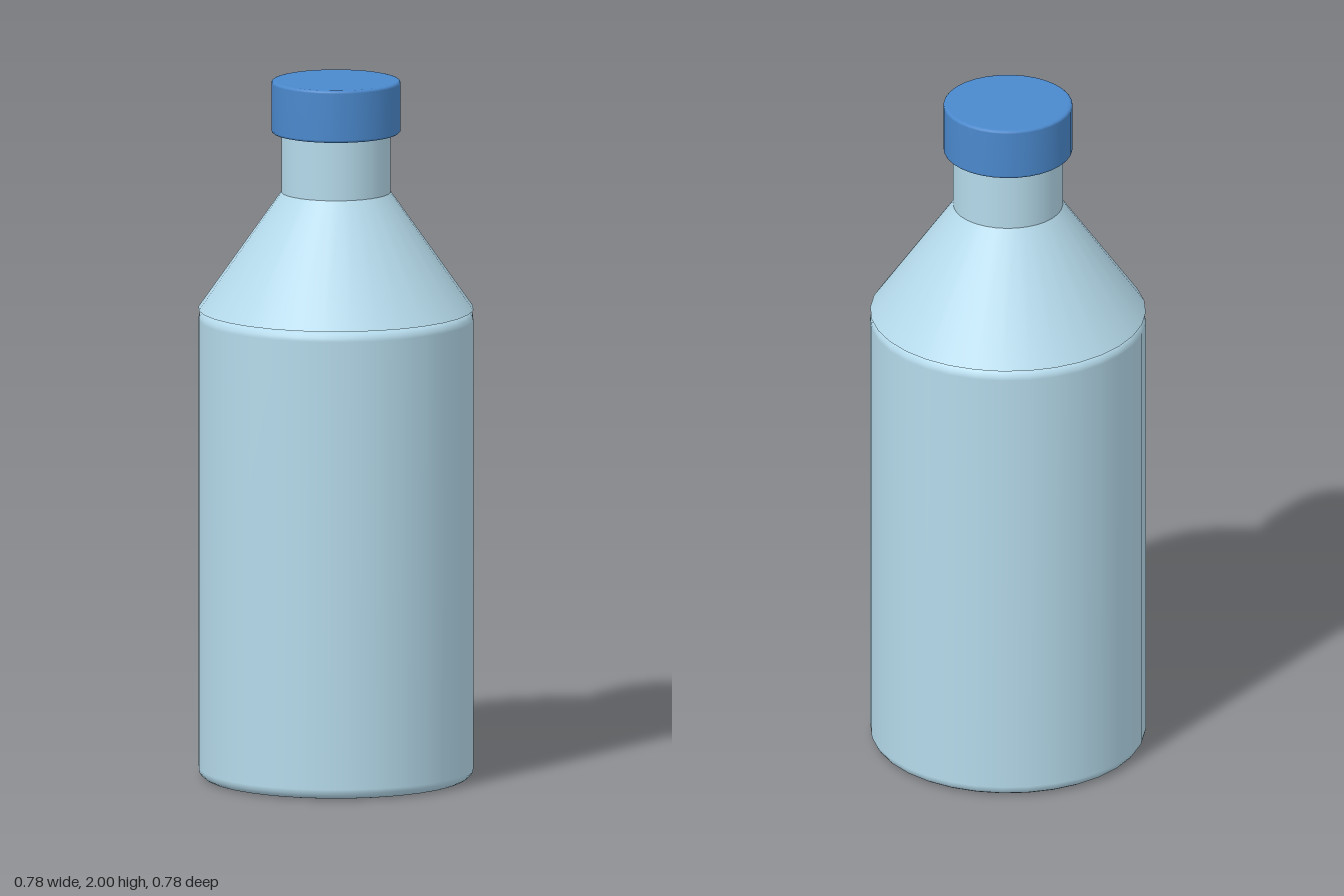
import * as THREE from 'three';

const SIDES = 32;
const bottleMaterial = new THREE.MeshStandardMaterial({ color: 0xb5daeb });
const capMaterial = new THREE.MeshStandardMaterial({ color: 0x4a88cc });

// Closed disc-ended cylinder with softly rounded rims, standing from y0 to y1
function roundedCylinder(radius, y0, y1, bevel, steps = 4) {
  const inner = radius - bevel;
  const points = [new THREE.Vector2(0, y0), new THREE.Vector2(inner * 0.98, y0)];
  for (const [centreY, start] of [[y0 + bevel, -Math.PI / 2], [y1 - bevel, 0]]) {
    for (let i = 0; i <= steps; i++) {
      const a = start + (i / steps) * (Math.PI / 2);
      points.push(new THREE.Vector2(inner + bevel * Math.cos(a), centreY + bevel * Math.sin(a)));
    }
  }
  points.push(new THREE.Vector2(inner * 0.98, y1), new THREE.Vector2(0, y1));
  return new THREE.LatheGeometry(points, SIDES);
}

// Plain tapered section between two heights
function taper(bottomRadius, topRadius, y0, y1) {
  return new THREE.CylinderGeometry(topRadius, bottomRadius, y1 - y0, SIDES)
    .translate(0, (y0 + y1) / 2, 0);
}

export function createModel() {
  const bottle = new THREE.Group();
  bottle.name = 'bottle';

  const add = (name, geometry, material) => {
    const mesh = new THREE.Mesh(geometry, material);
    mesh.name = name;
    bottle.add(mesh);
  };

  add('body', roundedCylinder(0.39, 0, 1.345, 0.03), bottleMaterial);
  add('shoulder', taper(0.39, 0.155, 1.345, 1.68), bottleMaterial);
  add('neck', taper(0.155, 0.155, 1.68, 1.86), bottleMaterial);
  add('cap', roundedCylinder(0.183, 1.85, 2, 0.008, 3), capMaterial);

  return bottle;
}
